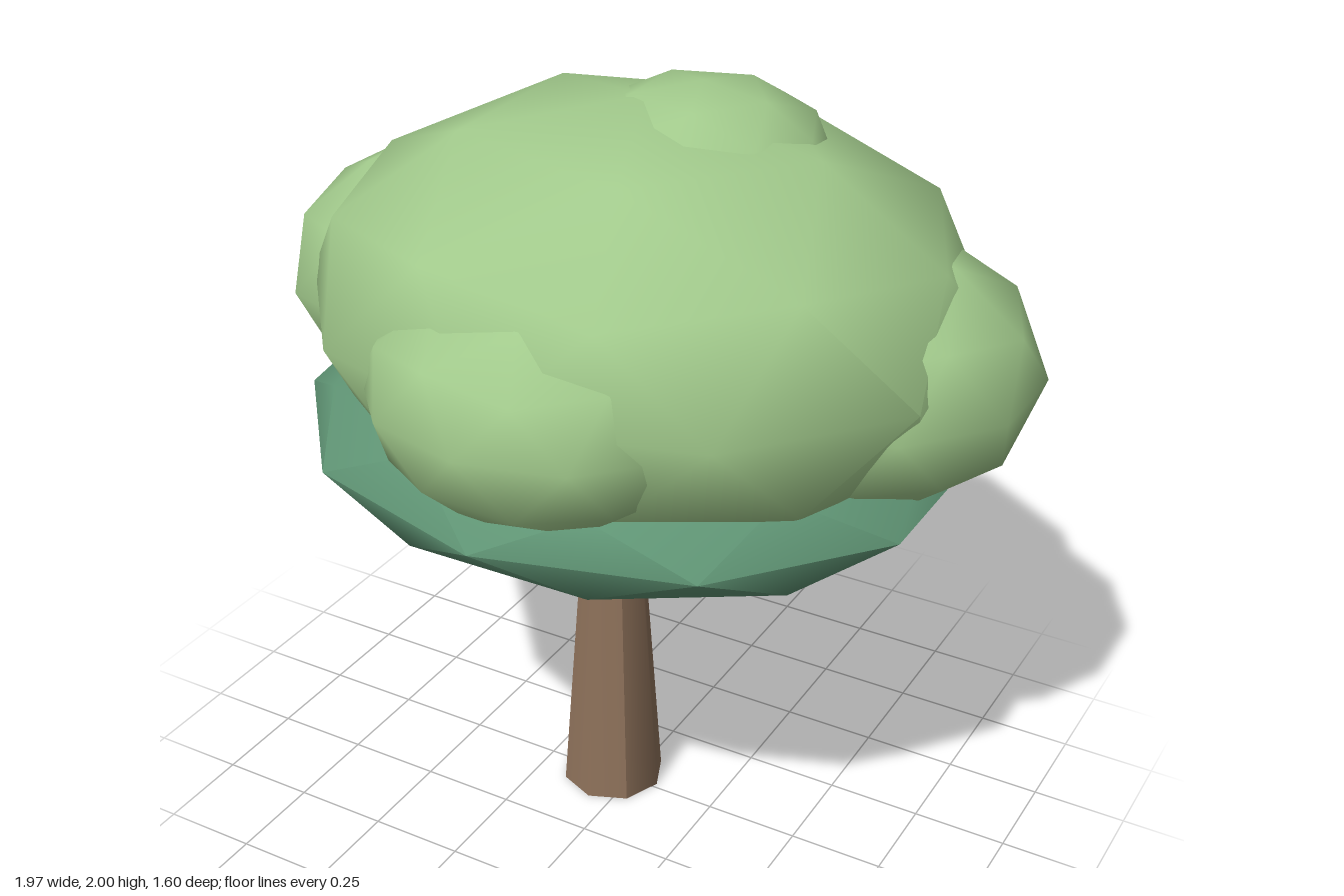
import * as THREE from 'three';
import { mergeGeometries, toCreasedNormals } from 'three/addons/utils/BufferGeometryUtils.js';

const leaf = new THREE.MeshStandardMaterial({ color: 0xa2ca8c });
leaf.name = 'light leaf green';
const shade = new THREE.MeshStandardMaterial({ color: 0x5f9474 });
shade.name = 'deep leaf green';
const bark = new THREE.MeshStandardMaterial({ color: 0x8c7059 });
bark.name = 'bark brown';

function mesh(name, geometry, material) {
  const m = new THREE.Mesh(geometry, material);
  m.name = name;
  return m;
}

// Faceted ellipsoid with a vertex at its pole and a ten-sided equator
function foliage(name, material, centre, radii) {
  const g = new THREE.IcosahedronGeometry(1, 1);
  g.rotateZ(Math.atan2(2, 1 + Math.sqrt(5)));
  g.rotateY(Math.PI);
  g.scale(...radii);
  g.translate(...centre);
  g.deleteAttribute('normal');
  g.deleteAttribute('uv');
  return mesh(name, toCreasedNormals(g, 1.0), material);
}

// Tapered eight-sided trunk: four softly bent sides that meet at hard edges
function trunk() {
  const height = 1.0;
  const parts = [];
  for (let i = 0; i < 4; i++) {
    const side = new THREE.CylinderGeometry(0.066, 0.138, height, 2, 1, true,
      Math.PI / 4 + i * Math.PI / 2, Math.PI / 2);
    side.computeVertexNormals();
    side.translate(0, height / 2, 0);
    parts.push(side);
  }
  parts.push(new THREE.CircleGeometry(0.138, 8).rotateX(Math.PI / 2));
  const g = mergeGeometries(parts);
  g.translate(-0.062, 0, -0.015);
  return mesh('trunk', g, bark);
}

// Short tapered limb between two points
function branch(name, from, to) {
  const a = new THREE.Vector3(...from);
  const b = new THREE.Vector3(...to);
  const dir = b.clone().sub(a);
  const g = toCreasedNormals(new THREE.CylinderGeometry(0.022, 0.032, dir.length(), 5), 0.6);
  const m = mesh(name, g, bark);
  m.position.copy(a).add(b).multiplyScalar(0.5);
  m.quaternion.setFromUnitVectors(new THREE.Vector3(0, 1, 0), dir.normalize());
  return m;
}

export function createModel() {
  const tree = new THREE.Group();
  tree.name = 'tree';

  // Trunk and fork
  tree.add(trunk());
  tree.add(branch('sideBranch', [-0.01, 0.8, -0.1], [0.28, 0.95, -0.05]));
  tree.add(branch('backBranch', [-0.01, 0.8, -0.1], [-0.06, 0.95, -0.25]));

  // Shaded lower canopy and the large crown above it
  tree.add(foliage('lowerCanopy', shade, [-0.01, 1.12, -0.035], [0.87, 0.24, 0.765]));
  tree.add(foliage('crown', leaf, [0.02, 1.455, -0.035], [0.865, 0.52, 0.765]));

  // Smaller clumps around the crown
  tree.add(foliage('rightClump', leaf, [-0.545, 1.4, -0.13], [0.47, 0.34, 0.49]));
  tree.add(foliage('leftClump', leaf, [0.53, 1.38, -0.12], [0.475, 0.34, 0.43]));
  tree.add(foliage('frontClump', leaf, [0.01, 1.4, 0.46], [0.43, 0.3, 0.34]));
  tree.add(foliage('topClump', leaf, [0.12, 1.82, -0.13], [0.32, 0.18, 0.32]));

  return tree;
}
